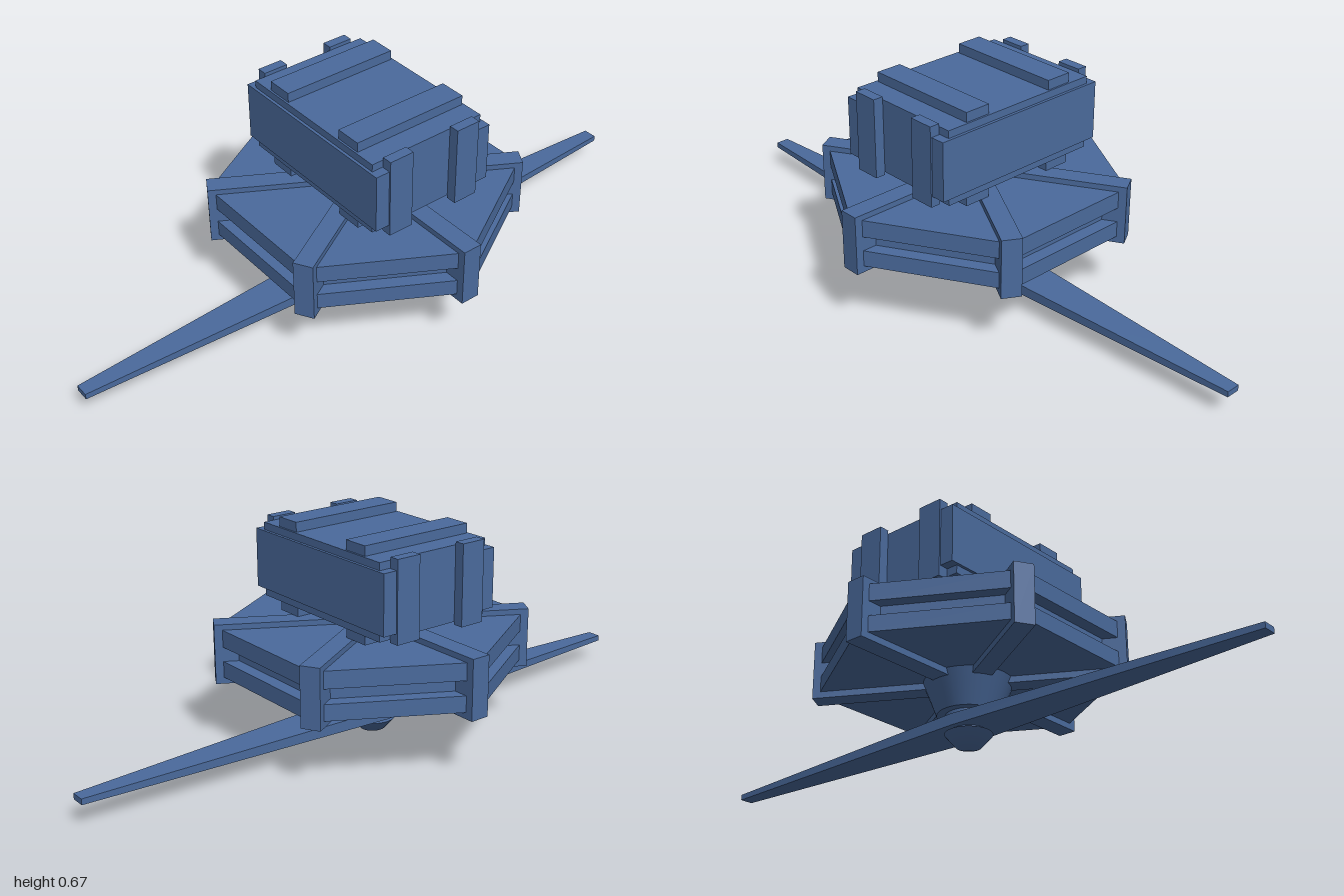
import * as THREE from 'three';

const material = new THREE.MeshStandardMaterial({ color: 0x4a6a9c });

export function createModel() {
  const model = new THREE.Group();

  const add = (name, geometry, x = 0, y = 0, z = 0) => {
    const mesh = new THREE.Mesh(geometry, material);
    mesh.name = name;
    mesh.position.set(x, y, z);
    model.add(mesh);
    return mesh;
  };
  // Box given by its limits on each axis
  const box = (name, x0, x1, y0, y1, z0, z1) =>
    add(name, new THREE.BoxGeometry(x1 - x0, y1 - y0, z1 - z0),
      (x0 + x1) / 2, (y0 + y1) / 2, (z0 + z1) / 2);
  // Upright round or six-sided solid between two heights
  const turned = (name, rTop, rBottom, y0, y1, sides = 40) =>
    add(name, new THREE.CylinderGeometry(rTop, rBottom, y1 - y0, sides), 0, (y0 + y1) / 2, 0);

  // Hexagonal body: two wide plates with a recessed core, corners on the z axis
  for (const [name, r, y0, y1] of [
    ['lowerPlate', 0.467, 0.215, 0.265],
    ['bodyCore', 0.421, 0.265, 0.31],
    ['upperPlate', 0.467, 0.31, 0.363],
  ]) {
    const plate = turned(name, r, r, y0, y1, 6);
    plate.geometry = plate.geometry.toNonIndexed();
    plate.geometry.computeVertexNormals();
  }

  // Three full-width ribs crossing at the centre make the six corner posts
  for (let i = 0; i < 3; i++) {
    const rib = box('rib', -0.03, 0.03, 0.195, 0.38, -0.474, 0.474);
    rib.rotation.y = i * Math.PI / 3;
  }

  // Battery pack on top, with raised side panels
  box('batteryCase', -0.196, 0.196, 0.41, 0.64, -0.272, 0.272);
  for (const s of [-1, 1]) {
    const px = s * 0.1825;
    box('sidePanel', px - 0.0225, px + 0.0225, 0.435, 0.617, -0.301, 0.301);
    // Straps holding the pack to the body
    box('strap', -0.19, 0.19, 0.38, 0.67, s * 0.159 - 0.042, s * 0.159 + 0.042);
    // End clips, two on each end
    for (const e of [-1, 1]) {
      box('endClip', s * 0.12 - 0.04, s * 0.12 + 0.04, 0.402, 0.65, e * 0.29 - 0.016, e * 0.29 + 0.016);
    }
  }

  // Motor below the body
  turned('motorHousing', 0.135, 0.095, 0.11, 0.215);
  turned('motorCollar', 0.07, 0.07, 0.097, 0.11);
  turned('shaft', 0.055, 0.055, 0.05, 0.1);

  // Propeller: a long bar narrowing and thinning toward both tips
  const blade = new THREE.BoxGeometry(2, 1, 1, 2, 1, 1);
  const p = blade.attributes.position;
  for (let i = 0; i < p.count; i++) {
    const t = Math.abs(p.getX(i));
    p.setY(i, p.getY(i) * THREE.MathUtils.lerp(0.036, 0.018, t));
    p.setZ(i, p.getZ(i) * THREE.MathUtils.lerp(0.15, 0.044, t));
  }
  blade.computeVertexNormals();
  add('propeller', blade, 0, 0.08, 0);

  // Spinner cap under the propeller
  const profile = [[0, 0], [0.039, 0.012], [0.072, 0.05]];
  add('spinner', new THREE.LatheGeometry(profile.map(([x, y]) => new THREE.Vector2(x, y)), 32), 0, 0.003, 0);
  const lid = add('spinnerLid', new THREE.CircleGeometry(0.072, 32), 0, 0.053, 0);
  lid.rotation.x = -Math.PI / 2;

  // Stand on the ground
  for (const part of model.children) part.position.y -= 0.003;
  return model;
}
